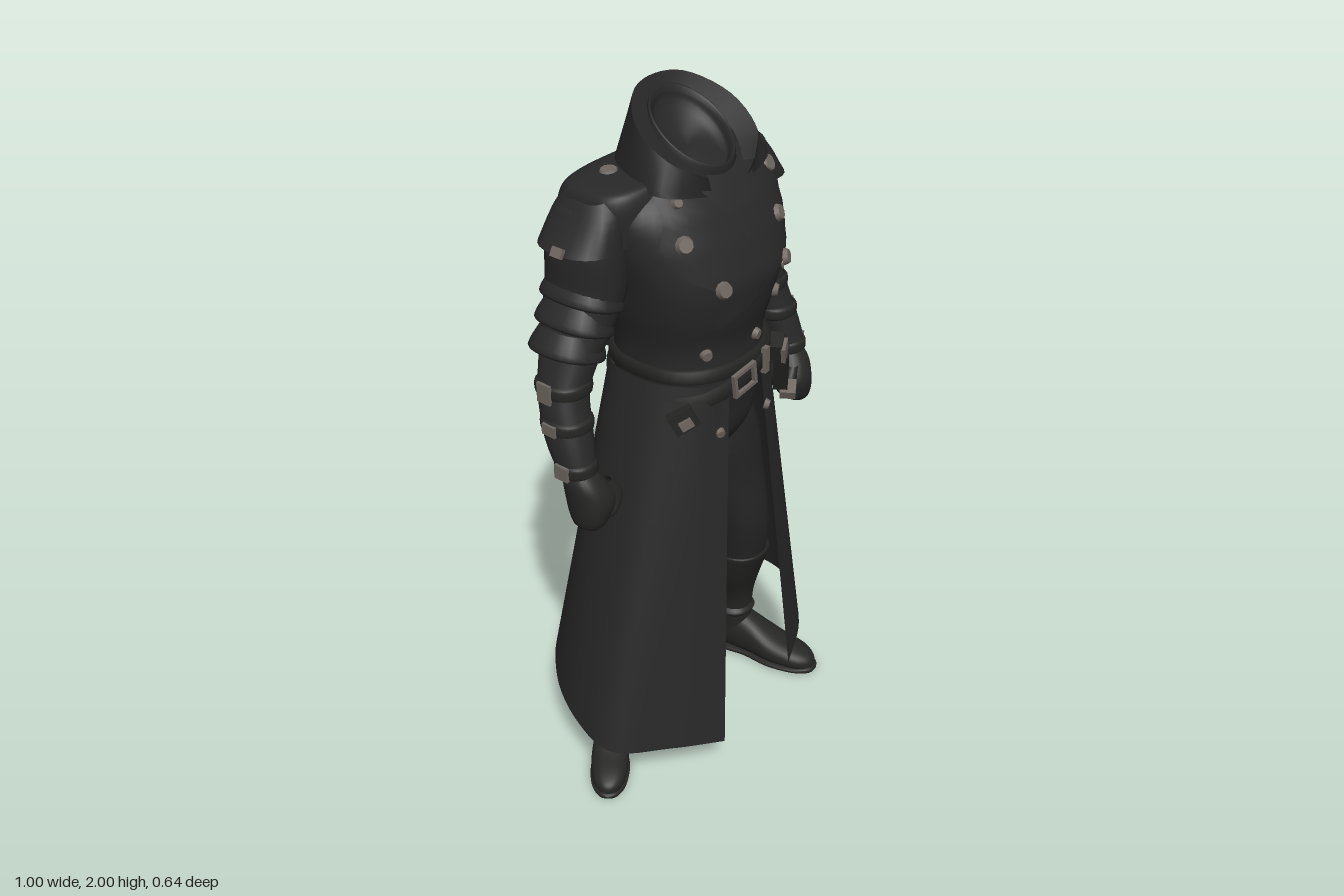
import * as THREE from 'three';

const mat = (name, color) => {
  const m = new THREE.MeshStandardMaterial({ color, side: THREE.DoubleSide });
  m.name = name;
  return m;
};

export function createModel() {
  const model = new THREE.Group();
  const coat = mat('coat cloth', 0x282828);
  const leather = mat('dark leather', 0x262625);
  const metal = mat('worn metal', 0x6e6660);

  const add = (name, geo, m = coat, parent = model) => {
    const mesh = new THREE.Mesh(geo, m);
    mesh.name = name;
    parent.add(mesh);
    return mesh;
  };

  // Grid surface from a point rule f(u, v); closed joins the ends of u
  const surface = (f, nu, nv, closed = false) => {
    const pos = [], idx = [], cols = closed ? nu : nu + 1;
    for (let j = 0; j <= nv; j++)
      for (let i = 0; i < cols; i++) pos.push(...f(i / nu, j / nv));
    for (let j = 0; j < nv; j++)
      for (let i = 0; i < nu; i++) {
        const k = (i + 1) % cols, a = j * cols + i, b = j * cols + k;
        idx.push(a, a + cols, b, b, a + cols, b + cols);
      }
    const g = new THREE.BufferGeometry();
    g.setAttribute('position', new THREE.Float32BufferAttribute(pos, 3));
    g.setIndex(idx);
    g.computeVertexNormals();
    return g;
  };

  // Rounded cross-sections [y, cx, cz, rx, rz, slope along z, slope along x]
  const loft = (rings, { p = 2.3, n = 28, sub = 4 } = {}) => {
    const at = (k, c) => rings[Math.max(0, Math.min(rings.length - 1, k))][c] || 0;
    const sample = (v, c) => {
      const t = v * (rings.length - 1), k = Math.min(Math.floor(t), rings.length - 2), f = t - k;
      const [a, b, d, e] = [at(k - 1, c), at(k, c), at(k + 1, c), at(k + 2, c)];
      return b + 0.5 * f * (d - a + f * (2 * a - 5 * b + 4 * d - e + f * (3 * (b - d) + e - a)));
    };
    const pw = (q) => Math.sign(q) * Math.abs(q) ** (2 / p);
    return surface((u, v) => {
      const [y, cx, cz, rx, rz, sz, sx] = [0, 1, 2, 3, 4, 5, 6].map((c) => sample(v, c));
      const dx = rx * pw(Math.cos(u * 2 * Math.PI)), dz = rz * pw(Math.sin(u * 2 * Math.PI));
      return [cx + dx, y + sz * dz + sx * dx, cz + dz];
    }, n, (rings.length - 1) * sub, true);
  };

  // Surface spanned between two smooth curves
  const span = (name, top, bottom, nv) => {
    const [a, b] = [top, bottom].map((pts) => new THREE.CatmullRomCurve3(pts.map((q) => new THREE.Vector3(...q))));
    add(name, surface((u, v) => a.getPoint(u).lerp(b.getPoint(u), v).toArray(), 36, nv));
  };

  // Torso
  const torso = [[0.95, 0, 0.02, 0.08, 0.08], [1.05, 0, 0.02, 0.17, 0.15], [1.15, 0, 0.02, 0.2, 0.17],
    [1.25, 0, 0.02, 0.2, 0.185], [1.35, 0, 0.02, 0.205, 0.185], [1.45, 0, 0.03, 0.23, 0.2],
    [1.55, 0, 0.035, 0.25, 0.205], [1.65, 0, 0.01, 0.275, 0.195], [1.73, 0, 0, 0.275, 0.165],
    [1.79, 0, -0.01, 0.22, 0.13], [1.83, 0, -0.01, 0.1, 0.08]];
  add('torso', loft(torso, { n: 40 }));

  // Depth of the torso surface, used to drape cloth and place studs
  const bodyZ = (x, y) => {
    let k = 0;
    while (k < torso.length - 2 && torso[k + 1][0] < y) k++;
    const a = torso[k], b = torso[k + 1], f = Math.min(1, Math.max(0, (y - a[0]) / (b[0] - a[0])));
    const [cz, rx, rz] = [2, 3, 4].map((c) => a[c] + (b[c] - a[c]) * f);
    return cz + rz * (1 - Math.min(0.985, Math.abs(x / rx)) ** 2.3) ** (1 / 2.3);
  };
  const drape = (name, [a, b, c, d], off) => {
    const mix = (p, q, t) => p + (q - p) * t;
    add(name, surface((u, v) => {
      const x = mix(mix(a[0], b[0], u), mix(d[0], c[0], u), v);
      const y = mix(mix(a[1], b[1], u), mix(d[1], c[1], u), v);
      return [x, y, bodyZ(x, y) + off];
    }, 14, 10));
  };
  drape('rightLapel', [[-0.25, 1.62], [-0.06, 1.5], [0, 1.72], [-0.2, 1.78]], 0.008);
  drape('leftLapel', [[-0.13, 1.43], [0.27, 1.62], [0.2, 1.78], [-0.08, 1.72]], 0.016);
  drape('scarf', [[-0.01, 1.65], [0.01, 1.65], [0.12, 1.81], [-0.12, 1.81]], 0.026);

  // Square shoulder cape, hanging lower at the back
  add('shoulderCape', loft([[1.635, 0, -0.065, 0.31, 0.157, 0.2], [1.71, 0, -0.062, 0.318, 0.152, 0.1],
    [1.765, 0, -0.055, 0.315, 0.142], [1.795, 0, -0.045, 0.29, 0.125], [1.81, 0, -0.03, 0.2, 0.11],
    [1.82, 0, -0.02, 0.1, 0.09]], { p: 3.6, n: 48 }));

  // Hollow neck scarf inside a tall collar that is open at the front
  add('neckScarf', loft([[1.77, 0, 0, 0.14, 0.13], [1.83, 0, 0.02, 0.125, 0.115, -0.5],
    [1.895, 0, 0.03, 0.112, 0.108, -0.72], [1.888, 0, 0.03, 0.102, 0.098, -0.72],
    [1.86, 0, 0.02, 0.085, 0.08, -0.75], [1.84, 0, 0.015, 0, 0]], { p: 2, n: 36 }));
  const mirrored = (pts) => [...pts, ...pts.slice(0, -1).reverse().map(([x, y, z]) => [-x, y, z])];
  const collarRim = mirrored([[-0.09, 1.815, 0.16], [-0.165, 1.86, 0.105], [-0.178, 1.925, 0.01],
    [-0.1, 1.985, -0.075], [0, 2, -0.095]]);
  const collarBase = mirrored([[-0.06, 1.755, 0.15], [-0.2, 1.785, 0.115], [-0.203, 1.79, 0.01],
    [-0.135, 1.805, -0.115], [0, 1.81, -0.16]]);
  const collarLining = mirrored([[-0.07, 1.81, 0.14], [-0.11, 1.85, 0.08], [-0.115, 1.89, 0.02],
    [-0.07, 1.94, -0.05], [0, 1.95, -0.072]]);
  span('collar', collarRim, collarBase, 6);
  span('collarLining', collarLining, collarRim, 4);

  // Coat skirts: two open panels running from front edge to back slit
  const waist = (s, front, back) => [[s * front, 1.26, 0.212], [s * 0.14, 1.26, 0.185], [s * 0.2, 1.26, 0.1],
    [s * 0.213, 1.26, 0.02], [s * 0.19, 1.26, -0.09], [s * 0.1, 1.26, -0.16], [s * back, 1.26, -0.176]];
  span('rightSkirt', waist(-1, 0.06, -0.03), [[-0.18, 0.13, 0.318], [-0.33, 0.16, 0.24], [-0.475, 0.19, 0.14],
    [-0.46, 0.2, 0], [-0.37, 0.22, -0.18], [-0.2, 0.23, -0.318], [-0.06, 0.23, -0.24]], 14);
  span('leftSkirt', waist(1, 0.07, -0.03), [[0.2, 0.15, 0.26], [0.33, 0.2, 0.2], [0.44, 0.25, 0.06],
    [0.445, 0.26, -0.1], [0.38, 0.26, -0.23], [0.25, 0.27, -0.3], [0.11, 0.27, -0.25]], 14);

  // Mirrored limbs
  for (const [side, s] of [['left', 1], ['right', -1]]) {
    const limb = (name, rings, m = coat) =>
      add(side + name, loft(rings.map(([y, x, z, rx, rz, sz, sx]) => [y, s * x, z, rx, rz, sz, s * (sx || 0)]),
        { n: 24 }), m);
    limb('Sleeve', [[1.78, 0.26, -0.065, 0, 0], [1.75, 0.275, -0.065, 0.07, 0.085], [1.66, 0.29, -0.065, 0.088, 0.11],
      [1.53, 0.295, -0.07, 0.086, 0.112], [1.43, 0.335, -0.07, 0.077, 0.1], [1.36, 0.375, -0.06, 0.068, 0.08],
      [1.28, 0.413, -0.045, 0.062, 0.066], [1.17, 0.435, -0.01, 0.058, 0.064], [1.09, 0.445, 0.025, 0.047, 0.052]]);
    // Pointed shoulder flap with a ragged metal tip
    limb('ShoulderFlap', [[1.785, 0.28, -0.055, 0.05, 0.075, 0, -0.3], [1.74, 0.295, -0.055, 0.072, 0.1, 0, -0.3],
      [1.66, 0.32, -0.055, 0.094, 0.112, 0, 0]]);
    const tip = add(side + 'FlapTip', new THREE.BoxGeometry(0.012, 0.025, 0.035), metal);
    tip.position.set(s * 0.412, 1.668, -0.045);
    tip.rotation.z = s * 0.5;
    // Bunched cuffs around the elbow
    for (const [y, x, r, z] of [[1.51, 0.31, 0.088, 0.117], [1.45, 0.34, 0.084, 0.11], [1.385, 0.37, 0.09, 0.1]])
      limb('ElbowFold', [[y + 0.045, x - 0.015, -0.07, r - 0.022, z - 0.02, 0, 0.3],
        [y - 0.01, x, -0.07, r, z, 0, 0.3], [y - 0.022, x, -0.07, r - 0.02, z - 0.02, 0, 0.3]]);
    // Forearm straps with metal clasps
    for (const [y, x, z, r, h] of [[1.3, 0.407, -0.05, 0.069, 0.055], [1.21, 0.428, -0.022, 0.064, 0.03],
      [1.1, 0.444, 0.02, 0.052, 0.04]]) {
      limb('ForearmStrap', [[y + 0.02, x, z, r - 0.008, r - 0.004], [y + 0.012, x, z, r, r + 0.004],
        [y - 0.012, x, z, r, r + 0.004], [y - 0.02, x, z, r - 0.008, r - 0.004]], leather);
      add(side + 'ForearmClasp', new THREE.BoxGeometry(0.009, h, 0.045), metal)
        .position.set(s * (x + r + 0.001), y, z);
    }
    limb('Fist', [[1.1, 0.445, 0.02, 0.035, 0.04], [1.06, 0.438, 0.04, 0.05, 0.055], [1.01, 0.425, 0.05, 0.06, 0.066],
      [0.96, 0.435, 0.055, 0.046, 0.056], [0.93, 0.443, 0.055, 0.028, 0.038], [0.92, 0.445, 0.055, 0, 0]], leather);
    limb('Thumb', [[1.06, 0.4, 0.08, 0.015, 0.015], [1.01, 0.375, 0.085, 0.022, 0.024],
      [0.96, 0.395, 0.09, 0.016, 0.018], [0.95, 0.4, 0.09, 0, 0]], leather);

    // Trousers and boots
    limb('Trouser', [[1.1, 0.09, 0.01, 0.09, 0.13], [0.95, 0.125, 0.015, 0.118, 0.125], [0.8, 0.165, 0.02, 0.108, 0.11],
      [0.6, 0.215, 0.03, 0.092, 0.095], [0.42, 0.255, 0, 0.082, 0.085]]);
    limb('BootShaft', [[0.46, 0.25, 0.01, 0.075, 0.08], [0.46, 0.25, 0.01, 0.09, 0.095],
      [0.36, 0.265, -0.02, 0.08, 0.088], [0.25, 0.288, -0.045, 0.06, 0.075], [0.15, 0.298, -0.05, 0.052, 0.068],
      [0.07, 0.298, -0.045, 0.045, 0.058]], leather);
    for (const y of [0.18, 0.28])
      limb('BootStrap', [[y + 0.015, 0.29, -0.048, 0.055, 0.07], [y, 0.29, -0.048, 0.068, 0.08],
        [y - 0.015, 0.29, -0.048, 0.055, 0.07]], leather);
    const foot = new THREE.Group();
    foot.name = side + 'Foot';
    foot.position.set(s > 0 ? 0.31 : -0.305, 0, s > 0 ? -0.012 : -0.02);
    foot.rotation.y = s > 0 ? 0.22 : -0.87;
    foot.scale.setScalar(s > 0 ? 1.08 : 0.96);
    add('shoe', loft([[-0.115, 0, -0.05, 0, 0], [-0.11, 0, -0.055, 0.03, 0.05], [-0.05, 0, -0.08, 0.046, 0.078],
      [0.03, 0, -0.066, 0.05, 0.064], [0.11, 0, -0.045, 0.058, 0.043], [0.19, 0, -0.035, 0.05, 0.031],
      [0.23, 0, -0.027, 0.025, 0.02], [0.24, 0, -0.027, 0, 0]]).rotateX(Math.PI / 2), leather, foot);
    add('sole', loft([[-0.12, 0, -0.01, 0, 0], [-0.112, 0, -0.01, 0.033, 0.01], [-0.05, 0, -0.01, 0.05, 0.01],
      [0.03, 0, -0.01, 0.048, 0.01], [0.11, 0, -0.01, 0.061, 0.01], [0.19, 0, -0.01, 0.053, 0.01],
      [0.235, 0, -0.01, 0.028, 0.01], [0.247, 0, -0.01, 0, 0]], { p: 3 }).rotateX(Math.PI / 2), leather, foot);
    model.add(foot);
  }

  // Belts: a level one and a slanted one
  const belt = (name, y, r, h, sx) => add(name, loft([[y - h, 0, 0.02, r - 0.015, r - 0.027, 0, sx],
    [y - h, 0, 0.02, r, r - 0.012, 0, sx], [y + h, 0, 0.02, r, r - 0.012, 0, sx],
    [y + h, 0, 0.02, r - 0.015, r - 0.027, 0, sx]], { n: 40, sub: 1 }), leather);
  belt('waistBelt', 1.285, 0.214, 0.018, 0);
  belt('slungBelt', 1.25, 0.22, 0.022, 0.22);

  // Buckle frame
  const outline = (pts) => pts.map((q) => new THREE.Vector2(...q));
  const frame = new THREE.Shape(outline([[-0.045, -0.035], [0.045, -0.035], [0.045, 0.035], [-0.045, 0.035]]));
  frame.holes.push(new THREE.Path(outline([[-0.034, -0.025], [-0.034, 0.025], [0.034, 0.025], [0.034, -0.025]])));
  const buckle = add('beltBuckle', new THREE.ExtrudeGeometry(frame, { depth: 0.012, bevelEnabled: false }), metal);
  buckle.position.set(-0.02, 1.25, 0.226);
  buckle.rotation.z = 0.15;

  // Hanging holster, pouches and loops
  const box = (name, [w, h, d], [x, y, z], [ry, rz], m = leather) => {
    const b = add(name, new THREE.BoxGeometry(w, h, d), m);
    b.position.set(x, y, z);
    b.rotation.set(0, ry, rz);
  };
  box('holster', [0.055, 0.15, 0.04], [0.215, 1.17, 0.175], [0.6, 0.4]);
  box('holsterTop', [0.06, 0.05, 0.045], [0.165, 1.26, 0.19], [0.5, 0.3]);
  box('holsterTip', [0.05, 0.028, 0.045], [0.245, 1.085, 0.18], [0.6, 0.4], metal);
  box('holsterClasp', [0.05, 0.05, 0.012], [0.172, 1.252, 0.216], [0.5, 0.3], metal);
  box('beltLoop', [0.022, 0.075, 0.015], [0.08, 1.265, 0.222], [0.15, 0], metal);
  box('sidePouch', [0.07, 0.06, 0.04], [-0.185, 1.175, 0.16], [-0.7, 0.5]);
  box('sidePouchClasp', [0.035, 0.025, 0.012], [-0.197, 1.172, 0.183], [-0.7, 0.5], metal);
  box('backPouch', [0.2, 0.08, 0.04], [-0.02, 1.285, -0.185], [0, -0.06]);
  const tail = new THREE.Shape(outline([[-0.11, 0.04], [0.11, 0.04], [0.09, -0.02], [0, -0.1], [-0.08, -0.02]]));
  add('backFlap', new THREE.ExtrudeGeometry(tail, { depth: 0.012, bevelEnabled: false }), leather)
    .position.set(0, 1.235, -0.203);

  // Coat studs, turned to follow the cloth
  const stud = (x, y, z, dir, r) => {
    const b = add('coatStud', new THREE.CylinderGeometry(r * 0.75, r, 0.014, 10).rotateX(Math.PI / 2), metal);
    b.position.set(x, y, z);
    b.lookAt(x + dir[0], y + dir[1], z + dir[2]);
  };
  for (const [x, y, r] of [[-0.19, 1.675, 0.025], [-0.12, 1.55, 0.024], [0.15, 1.66, 0.025], [0.14, 1.55, 0.024],
    [0.13, 1.45, 0.02], [-0.12, 1.345, 0.018], [0.06, 1.345, 0.018], [-0.1, 1.115, 0.016], [0.1, 1.115, 0.016]]) {
    const e = 0.01, z = bodyZ(x, y);
    const off = y < 1.2 ? 0.052 : y > 1.5 ? 0.02 : 0.006;
    stud(x, y, z + off, [(z - bodyZ(x + e, y)) / e, (z - bodyZ(x, y + e)) / e, 1], r);
  }
  for (const s of [-1, 1]) {
    stud(s * 0.2, 1.808, -0.07, [s * 0.1, 1, 0], 0.028);
    stud(s * 0.19, 1.69, -0.213, [0, 0.1, -1], 0.028);
  }
  stud(0.205, 1.757, 0.115, [0.3, 0.6, 1], 0.028);
  stud(-0.165, 1.765, 0.125, [-0.3, 0.6, 1], 0.016);
  return model;
}
